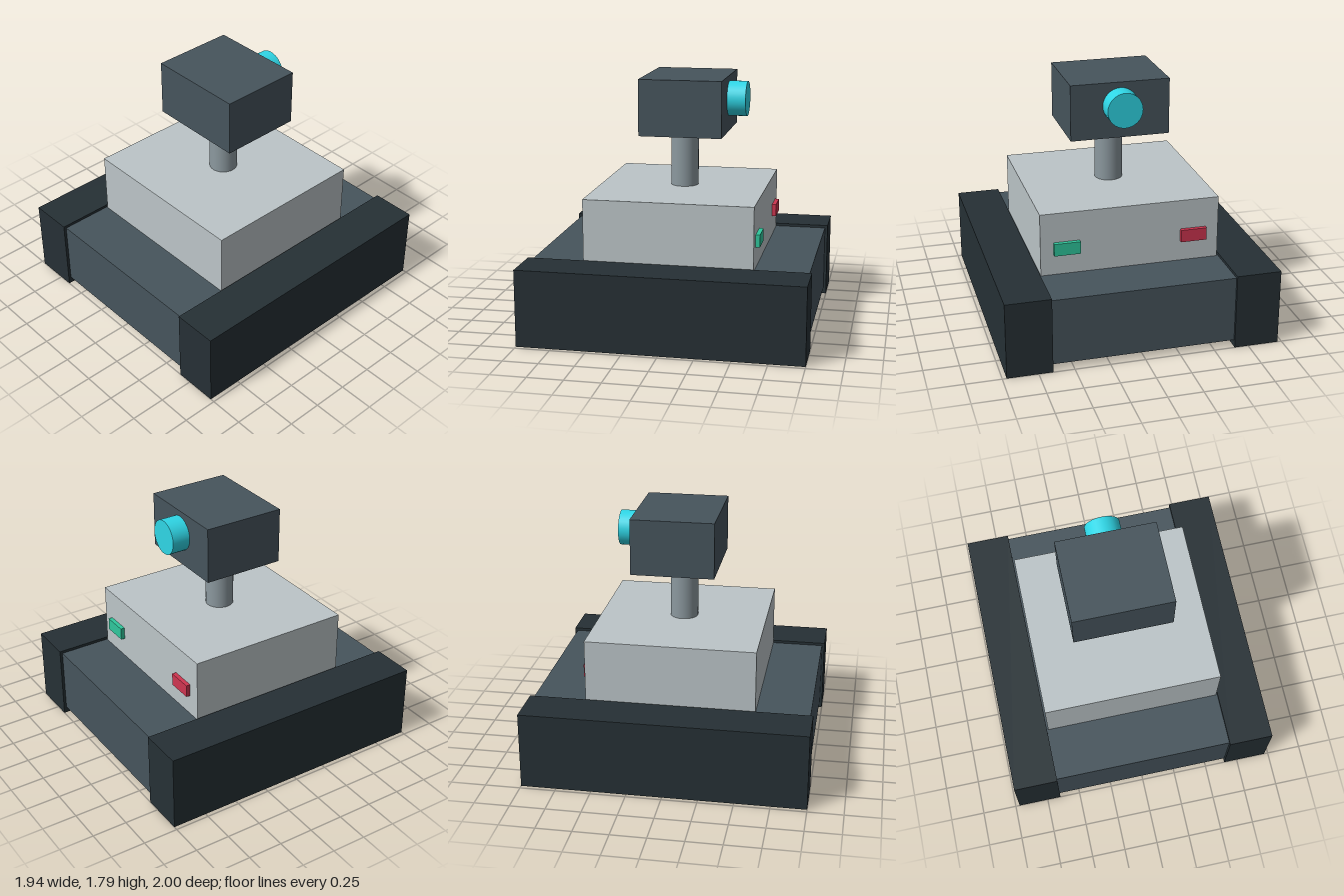
import * as THREE from 'three';

const material = (color) => new THREE.MeshStandardMaterial({ color });

export function createModel() {
  const model = new THREE.Group();
  model.name = 'trackedRobot';

  const dark = material(0x263035);
  const slate = material(0x46545c);
  const shell = material(0xbcc5c8);
  const steel = material(0x8c999f);
  const cyan = material(0x2fd6e6);

  const add = (name, geometry, mat, x, y, z) => {
    const mesh = new THREE.Mesh(geometry, mat);
    mesh.name = name;
    mesh.position.set(x, y, z);
    model.add(mesh);
    return mesh;
  };
  // Box given by its minimum and maximum corners
  const box = (name, mat, [x0, y0, z0], [x1, y1, z1]) =>
    add(name, new THREE.BoxGeometry(x1 - x0, y1 - y0, z1 - z0), mat,
      (x0 + x1) / 2, (y0 + y1) / 2, (z0 + z1) / 2);

  // Chassis and upper body
  box('chassis', slate, [-0.65, 0.05, -0.98], [0.65, 0.53, 0.98]);
  box('body', shell, [-0.64, 0.53, -0.6], [0.64, 0.985, 0.6]);

  // Tracks and rear lights, one per side
  for (const side of [-1, 1]) {
    const label = side > 0 ? 'left' : 'right';
    add(label + 'Track', new THREE.BoxGeometry(0.32, 0.55, 2), dark, side * 0.81, 0.275, 0);
    add(label + 'Light', new THREE.BoxGeometry(0.185, 0.09, 0.06),
      material(side > 0 ? 0x2fc79c : 0xcf3550), side * 0.455, 0.725, -0.6);
  }

  // Neck, head and lens
  add('neck', new THREE.CylinderGeometry(0.1, 0.1, 0.41, 32), steel, 0, 1.19, 0);
  box('head', slate, [-0.353, 1.39, -0.325], [0.353, 1.79, 0.265]);
  const lens = add('lens', new THREE.CylinderGeometry(0.125, 0.125, 0.145, 32), cyan, 0, 1.625, -0.385);
  lens.rotation.x = Math.PI / 2;

  return model;
}
